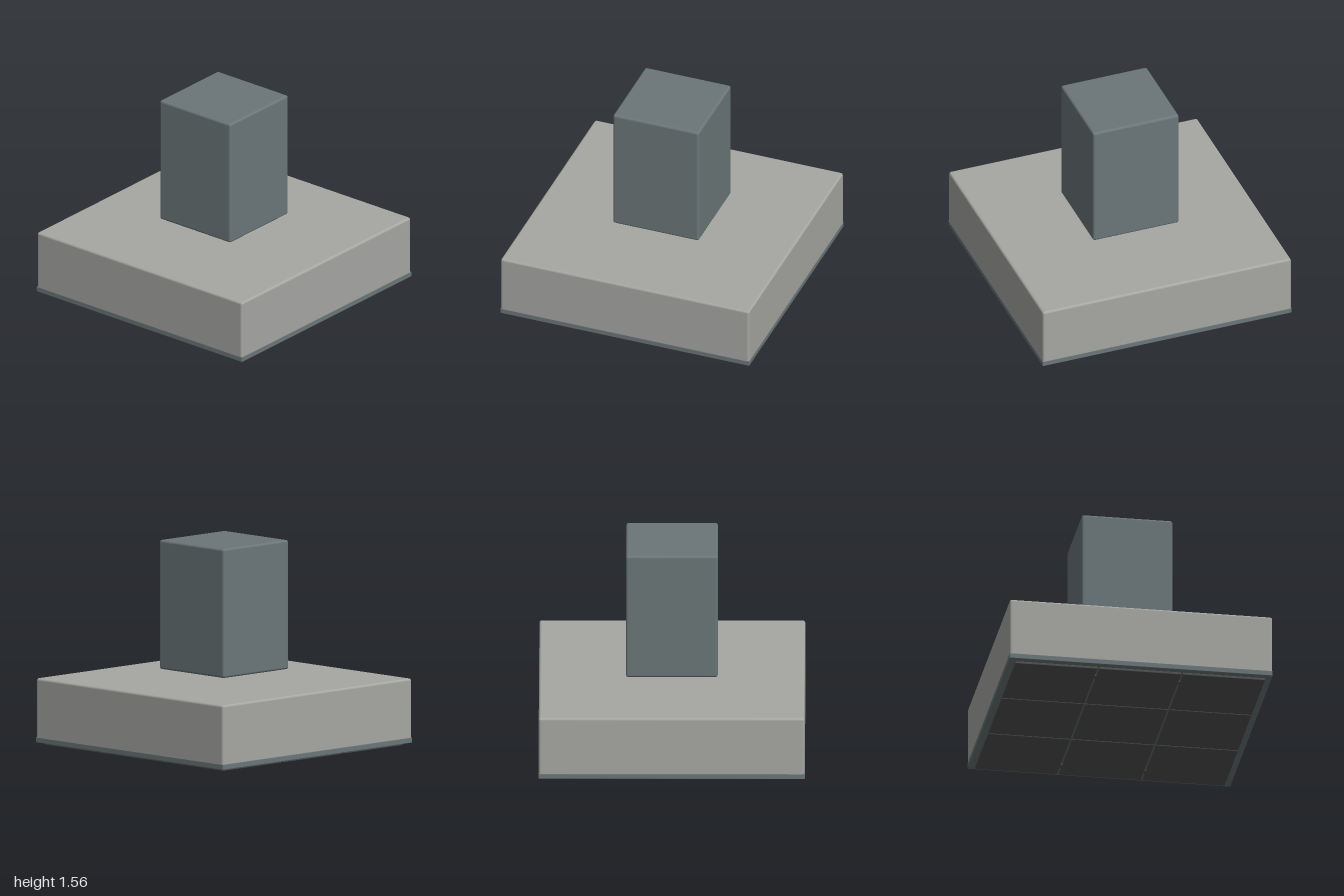
import * as THREE from 'three';
import { RoundedBoxGeometry } from 'three/addons/geometries/RoundedBoxGeometry.js';

const mat = (color) => new THREE.MeshStandardMaterial({ color });

export function createModel() {
  const group = new THREE.Group();
  const shell = mat(0xa6a6a3);
  const steel = mat(0x6b7678);
  const dark = mat(0x505250);

  // Box with softened edges, placed by its bottom height
  const block = (name, [w, h, d], radius, [x, bottom, z], material, parent = group) => {
    const mesh = new THREE.Mesh(new RoundedBoxGeometry(w, h, d, 3, radius), material);
    mesh.name = name;
    mesh.position.set(x, bottom + h / 2, z);
    parent.add(mesh);
    return mesh;
  };

  // Hood body, and the duct cover floating above it
  block('hoodBody', [1.996, 0.47, 1.996], 0.018, [0, 0.04, 0], shell);
  block('chimney', [0.69, 0.98, 0.69], 0.018, [0, 0.58, 0], steel);

  // Lower rim
  block('rim', [2, 0.04, 2], 0.004, [0, 0.022, 0], steel);

  // Three by three filter panels with narrow gaps
  const filters = new THREE.Group();
  filters.name = 'filterPanels';
  group.add(filters);
  const pitch = 0.637;
  for (let i = -1; i <= 1; i++) {
    for (let j = -1; j <= 1; j++) {
      block('filterPanel', [0.625, 0.021, 0.625], 0.006, [i * pitch, 0.002, j * pitch], dark, filters);
    }
  }

  // Slim light strips along both sides of the underside
  for (const side of [-1, 1]) {
    block('lightStrip', [0.045, 0.016, 1.64], 0.004, [side * 0.8, 0, 0], dark);
  }

  return group;
}
